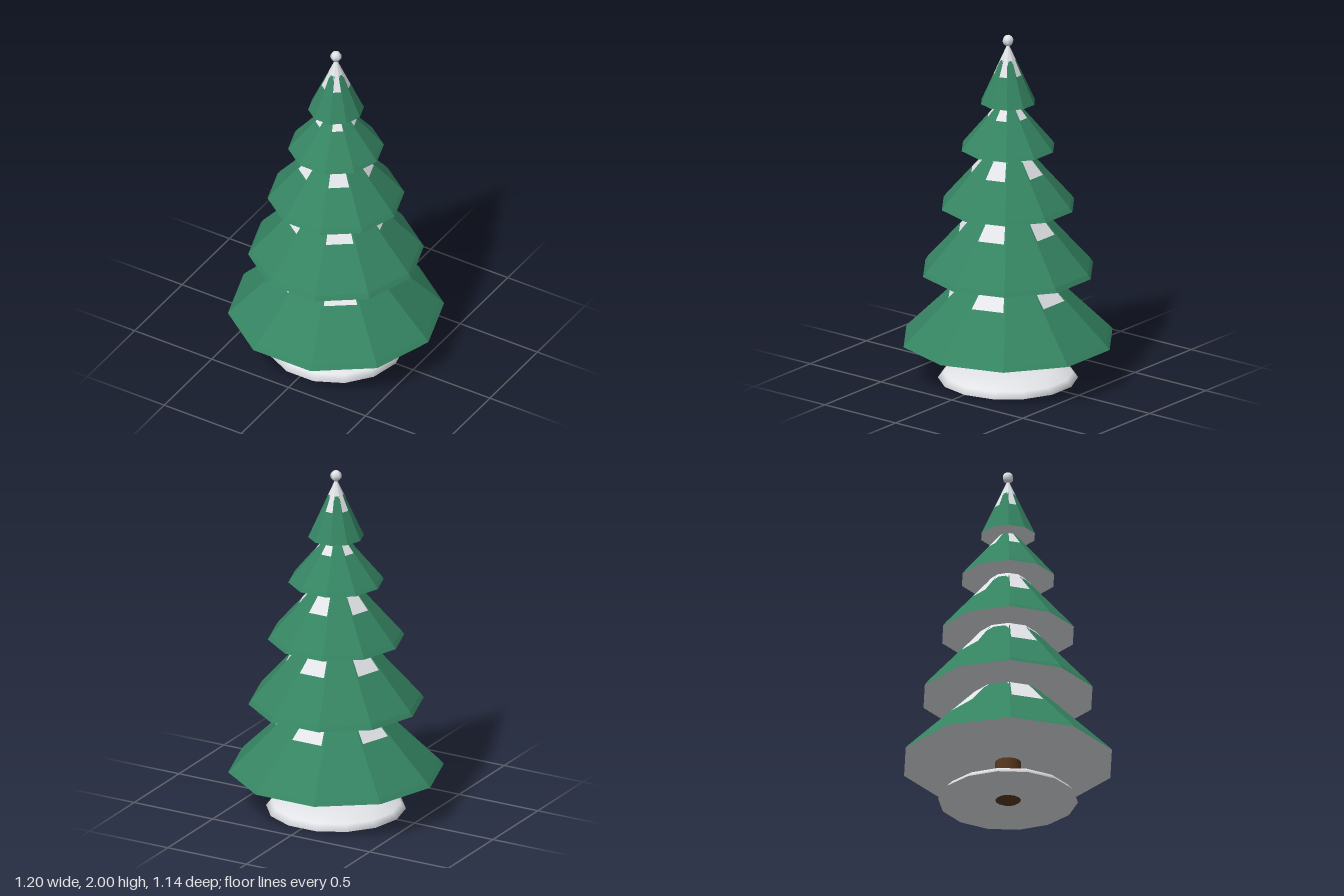
import * as THREE from 'three';

const snow = new THREE.MeshStandardMaterial({ color: 0xe2e4e8 });
snow.name = 'snow white';
const needles = new THREE.MeshStandardMaterial({ color: 0x358462 });
needles.name = 'needle green';
const bark = new THREE.MeshStandardMaterial({ color: 0x5c3a20 });
bark.name = 'bark brown';

const SIDES = 10;

// Tier: lip radius, lip height, shoulder radius and height, arm end, cap start, tip height
const TIERS = [
  { r: 0.6, y: 0.23, sr: 0.578, sy: 0.255, arm: 0.49, cap: 0.65, tip: 0.83 },
  { r: 0.488, y: 0.63, sr: 0.472, sy: 0.655, arm: 0.87, cap: 0.99, tip: 1.19 },
  { r: 0.38, y: 1.01, sr: 0.364, sy: 1.033, arm: 1.21, cap: 1.32, tip: 1.455 },
  { r: 0.266, y: 1.345, sr: 0.252, sy: 1.365, arm: 1.53, cap: 1.62, tip: 1.67 },
  { r: 0.155, y: 1.61, sr: 0.146, sy: 1.63, arm: 1.775, cap: 1.86, tip: 1.955 },
];

function mesh(name, geometry, material) {
  const m = new THREE.Mesh(geometry, material);
  m.name = name;
  return m;
}

function flatGeometry(points) {
  const g = new THREE.BufferGeometry().setFromPoints(points);
  g.computeVertexNormals();
  return g;
}

function createTier(t, index) {
  const green = [], white = [];
  const radiusAt = (y) => y < t.sy
    ? THREE.MathUtils.lerp(t.r, t.sr, (y - t.y) / (t.sy - t.y))
    : t.sr * (t.tip - y) / (t.tip - t.sy);

  for (let i = 0; i < SIDES; i++) {
    const corner = (k, y) => {
      const a = (i - 0.5 + k) * Math.PI * 2 / SIDES, r = radiusAt(y);
      return new THREE.Vector3(Math.sin(a) * r, y, Math.cos(a) * r);
    };
    // Point on this facet: u runs across it from 0 to 1
    const at = (u, y) => corner(0, y).lerp(corner(1, y), u);
    const patch = (list, y0, y1, a0 = 0, a1 = 1, b0 = a0, b1 = a1) => {
      const p = at(a0, y0), q = at(a1, y0), r = at(b1, y1), s = at(b0, y1);
      list.push(p, q, r, p, r, s);
    };

    patch(green, t.y, t.sy);
    if (i % 2) {
      // Snow arm running down every second facet
      patch(green, t.sy, t.arm);
      patch(green, t.arm, t.cap, 0, 0.06);
      patch(white, t.arm, t.cap, 0.06, 0.94);
      patch(green, t.arm, t.cap, 0.94, 1);
    } else {
      // Green facet with its upper corners under snow
      const shoulder = THREE.MathUtils.lerp(t.arm, t.cap, 0.75);
      patch(green, t.sy, shoulder);
      patch(green, shoulder, t.cap, 0, 1, 0.2, 0.8);
      patch(white, shoulder, t.cap, 0, 0, 0, 0.2);
      patch(white, shoulder, t.cap, 1, 1, 0.8, 1);
    }
    // Snow cap and flat underside
    white.push(at(0, t.cap), at(1, t.cap), new THREE.Vector3(0, t.tip, 0));
    white.push(at(1, t.y), at(0, t.y), new THREE.Vector3(0, t.y, 0));
  }

  const tier = new THREE.Group();
  tier.name = `branchTier${index + 1}`;
  tier.add(mesh('branches', flatGeometry(green), needles));
  tier.add(mesh('snowCover', flatGeometry(white), snow));
  return tier;
}

export function createModel() {
  const tree = new THREE.Group();
  tree.name = 'snowyTree';

  // Snow mound: squashed half sphere with a ring underneath, open for the trunk
  const dome = new THREE.SphereGeometry(1, 14, 4, 0, Math.PI * 2, 0, Math.PI / 2);
  dome.scale(0.388, 0.088, 0.388);
  const under = new THREE.RingGeometry(0.07, 0.388, 14);
  under.rotateX(Math.PI / 2);
  tree.add(mesh('snowMound', dome, snow), mesh('moundUnderside', under, snow));

  const trunk = new THREE.CylinderGeometry(0.073, 0.073, 0.4, 14);
  trunk.translate(0, 0.2, 0);
  tree.add(mesh('trunk', trunk, bark));

  TIERS.forEach((t, i) => tree.add(createTier(t, i)));

  // Ball on the tip
  const ball = new THREE.SphereGeometry(0.032, 6, 8);
  ball.rotateY(Math.PI / 2);
  ball.translate(0, 1.968, 0);
  tree.add(mesh('topBall', ball, snow));

  return tree;
}
